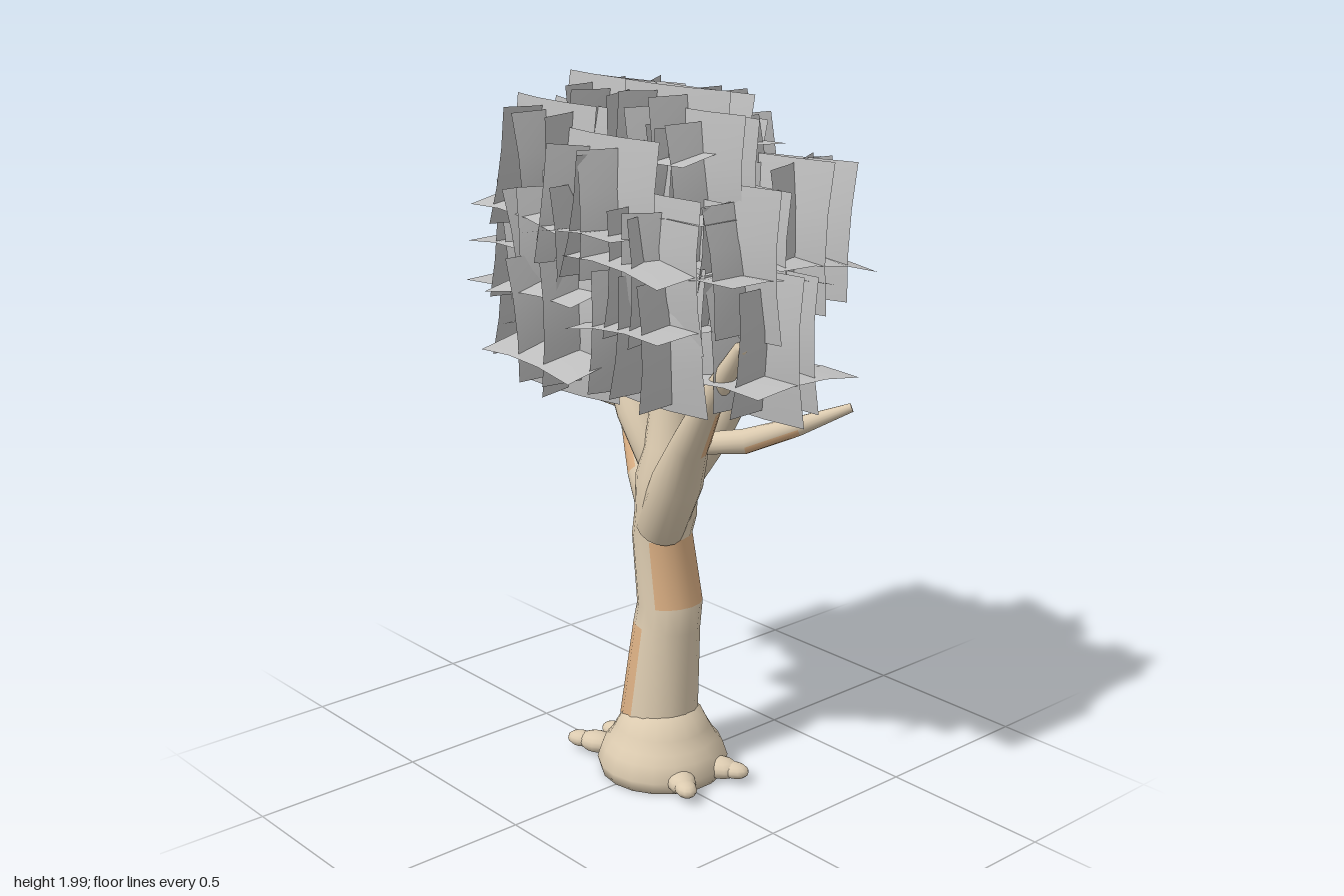
import * as THREE from 'three';

const material = (name, color, side = THREE.FrontSide) => {
  const m = new THREE.MeshStandardMaterial({ color, side });
  m.name = name;
  return m;
};

// Small seeded generator, returns -1..1
function seeded(seed) {
  return () => {
    seed = (seed * 16807) % 2147483647;
    return (seed / 2147483647) * 2 - 1;
  };
}

// Tapered limb through rings [x, y, z, radius]; patch(ring, side) picks the second colour
function limbGeometry(rings, patch = () => false, sides = 16) {
  const p = rings.map(([x, y, z]) => new THREE.Vector3(x, y, z));
  const ref = new THREE.Vector3(0, 0, 1);
  const pos = [], plain = [], patched = [];
  p.forEach((c, i) => {
    const t = p[Math.min(i + 1, p.length - 1)].clone().sub(p[Math.max(i - 1, 0)]).normalize();
    const u = t.clone().cross(ref).normalize();
    const v = u.clone().cross(t);
    for (let j = 0; j < sides; j++) {
      const a = (j / sides) * Math.PI * 2;
      const q = c.clone().addScaledVector(u, Math.cos(a) * rings[i][3]).addScaledVector(v, Math.sin(a) * rings[i][3]);
      pos.push(q.x, q.y, q.z);
    }
  });
  for (let i = 0; i < p.length - 1; i++) {
    for (let j = 0; j < sides; j++) {
      const a = i * sides + j, b = i * sides + ((j + 1) % sides);
      (patch(i, j) ? patched : plain).push(a, a + sides, b + sides, a, b + sides, b);
    }
  }
  // end caps
  const first = pos.length / 3, last = first + 1, top = (p.length - 1) * sides;
  pos.push(...p[0].toArray(), ...p[p.length - 1].toArray());
  for (let j = 0; j < sides; j++) {
    const k = (j + 1) % sides;
    plain.push(first, j, k, last, top + k, top + j);
  }
  const g = new THREE.BufferGeometry();
  g.setAttribute('position', new THREE.Float32BufferAttribute(pos, 3));
  g.setIndex([...plain, ...patched]);
  g.addGroup(0, plain.length, 0);
  g.addGroup(plain.length, patched.length, 1);
  g.computeVertexNormals();
  return g;
}

export function createModel() {
  const tree = new THREE.Group();
  tree.name = 'tree';
  const bark = material('bark', 0xdccbb0);
  const bareWood = material('bareWood', 0xdcb084);
  const leaf = material('foliage', 0xc0c0c0, THREE.DoubleSide);

  const add = (name, geometry, mat, parent = tree) => {
    const m = new THREE.Mesh(geometry, mat);
    m.name = name;
    parent.add(m);
    return m;
  };
  const limb = (name, rings, patch) => add(name, limbGeometry(rings, patch), [bark, bareWood]);

  // Bent trunk with two bare patches
  limb('trunk', [
    [-0.02, 0.06, -0.045, 0.11], [-0.022, 0.16, -0.045, 0.113], [-0.005, 0.45, -0.06, 0.096],
    [0.003, 0.52, -0.064, 0.094], [-0.026, 0.72, -0.06, 0.086], [0, 0.79, -0.05, 0.088],
    [0.005, 0.9, -0.05, 0.088], [0, 0.98, -0.065, 0.072], [0, 1.2, -0.08, 0.054],
    [0.02, 1.45, -0.07, 0.036], [0.02, 1.62, -0.06, 0.014],
  ], (i, j) => (i === 1 && j >= 4 && j <= 8) || (i === 3 && (j >= 13 || j <= 2)));

  // Main branches
  limb('rightFrontBranch', [
    [0, 0.75, -0.03, 0.07], [0.1, 0.92, -0.005, 0.072], [0.21, 1.06, 0.05, 0.052],
    [0.32, 1.2, 0.09, 0.038], [0.42, 1.32, 0.11, 0.027], [0.47, 1.385, 0.12, 0.018],
  ], (i, j) => i === 2 && j >= 14);
  limb('leftBranch', [
    [-0.01, 0.77, -0.05, 0.07], [-0.11, 0.88, -0.08, 0.06], [-0.2, 0.97, -0.12, 0.046],
    [-0.28, 1.04, -0.16, 0.038], [-0.38, 1.1, -0.21, 0.028], [-0.46, 1.155, -0.25, 0.015],
  ], (i, j) => i === 1 && j >= 3 && j <= 8);
  limb('leftInnerBranch', [
    [-0.02, 0.9, -0.05, 0.05], [-0.13, 1.06, -0.05, 0.054], [-0.22, 1.19, -0.06, 0.042], [-0.34, 1.36, -0.1, 0.02],
  ]);
  limb('rightInnerBranch', [
    [0.03, 0.88, -0.08, 0.05], [0.12, 1.03, -0.11, 0.052], [0.2, 1.17, -0.13, 0.04], [0.33, 1.4, -0.15, 0.018],
  ]);

  // Side twigs
  limb('rightTwig', [
    [0.22, 1.06, 0.03, 0.03], [0.3, 1.065, -0.06, 0.034], [0.4, 1.11, -0.16, 0.026], [0.5, 1.165, -0.26, 0.012],
  ], (i, j) => i === 1 && (j >= 14 || j <= 2));
  limb('leftTwig', [
    [-0.23, 1.045, -0.11, 0.02], [-0.34, 1.085, -0.04, 0.022], [-0.48, 1.16, 0.03, 0.01],
  ]);

  // Flared foot
  const profile = [[0, 0.005], [0.18, 0.005], [0.19, 0.04], [0.175, 0.085], [0.155, 0.11], [0.135, 0.145], [0.118, 0.18], [0.09, 0.2]];
  const foot = add('flaredFoot', new THREE.LatheGeometry(profile.map(([x, y]) => new THREE.Vector2(x, y)), 18), bark);
  foot.position.set(0, 0, -0.04);

  // Knobbly root ends: two overlapping blobs each
  const roots = new THREE.Group();
  roots.name = 'roots';
  tree.add(roots);
  const rootEnds = [[-0.24, 0.07], [-0.22, -0.04], [-0.19, -0.14], [-0.12, -0.19], [0.21, -0.13], [0.2, 0.05]];
  for (const [x, z] of rootEnds) {
    const angle = -Math.atan2(z + 0.04, x);
    for (const [f, r] of [[0.8, 0.042], [1, 0.031]]) {
      const knob = add('rootKnob', new THREE.SphereGeometry(r, 12, 8), bark, roots);
      knob.position.set(x * f, 0.04, (z + 0.04) * f - 0.04);
      knob.scale.set(1.4, 0.75, 1);
      knob.rotation.y = angle;
    }
  }

  // Gently bent leaf card
  const card = (w, h) => {
    const g = new THREE.PlaneGeometry(w, h, 3, 3);
    const a = g.attributes.position;
    for (let i = 0; i < a.count; i++) a.setZ(i, 0.01 - 0.5 * (a.getX(i) ** 2 + a.getY(i) ** 2));
    g.computeVertexNormals();
    return g;
  };

  // Crown: clumps of crossing cards
  const crown = new THREE.Group();
  crown.name = 'crown';
  tree.add(crown);
  const clumps = [
    [-0.39, 1.37, 0.02], [0.39, 1.37, -0.02], [-0.08, 1.37, 0.2], [0.1, 1.38, 0.02], [0.2, 1.38, 0.14], [-0.2, 1.38, 0.04],
    [-0.33, 1.63, -0.13], [0.33, 1.63, -0.15], [0, 1.58, -0.2], [-0.12, 1.56, 0.16], [0.2, 1.55, 0.14], [-0.32, 1.55, 0.06], [0.34, 1.58, 0.02],
    [-0.22, 1.74, 0.12], [0.22, 1.75, 0.02], [0, 1.71, -0.19], [-0.14, 1.8, 0], [0.14, 1.8, 0.01], [0.05, 1.68, 0.16],
  ];
  const rnd = seeded(4711);
  const half = Math.PI / 2;
  clumps.forEach(([x, y, z], n) => {
    const clump = new THREE.Group();
    clump.name = 'leafClump' + (n + 1);
    clump.position.set(x, y, z);
    crown.add(clump);
    const place = (name, w, h, rx, ry, rz, px = 0, py = 0, pz = 0) => {
      const m = add(name, card(w, h), leaf, clump);
      m.rotation.set(rx, ry, rz, 'ZYX');
      m.position.set(px, py, pz);
    };
    // facing front
    place('frontCard', 0.38, 0.39, rnd() * 0.05, rnd() * 0.1, 0, 0, 0, 0.05);
    place('frontCard', 0.34, 0.36, rnd() * 0.1, rnd() * 0.25, 0, rnd() * 0.02, 0, -0.05);
    // facing sideways, leaning
    for (const px of [-0.07, 0, 0.07]) {
      place('sideCard', 0.32, 0.33, rnd() * 0.05, half + rnd() * 0.45, rnd() * 0.2, px, rnd() * 0.02, 0);
    }
    // lying flat
    place('flatCard', 0.37, 0.36, -half + rnd() * 0.16, 0, rnd() * 0.14, 0, -0.03 + rnd() * 0.07, 0);
  });

  return tree;
}
